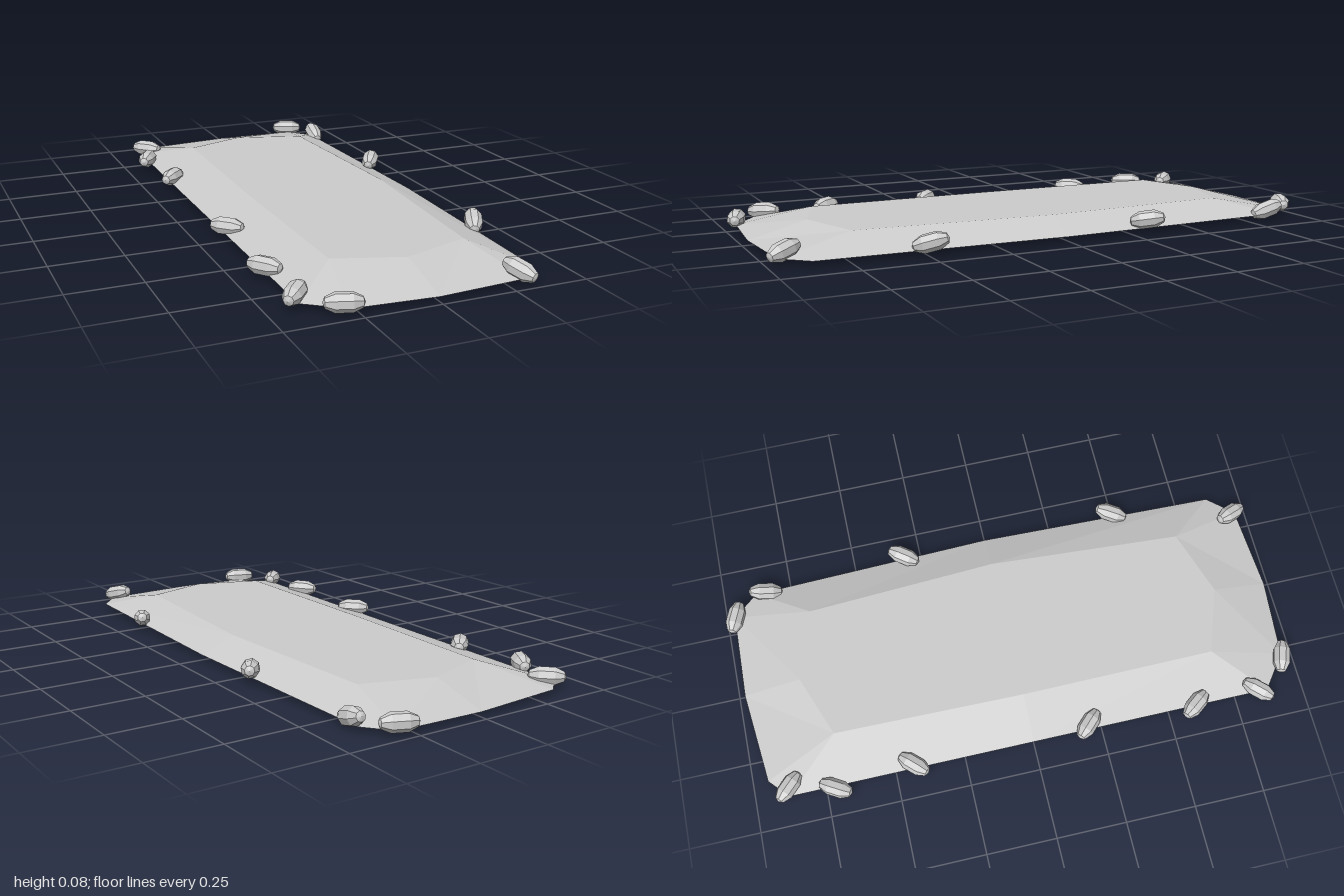
import * as THREE from 'three';

const material = new THREE.MeshStandardMaterial({ color: 0xcccccc, flatShading: true, side: THREE.DoubleSide });

// Low mound: an open faceted sheet, flat on top and sloping down to its rim
function makeMound() {
  const rimY = 0.022, topY = 0.075;
  const rim = [
    [-0.4, -0.88], [-0.33, -0.945], [0, -0.978], [0.31, -0.97], [0.385, -0.88], [0.41, 0],
    [0.388, 0.87], [0.31, 0.96], [0, 0.982], [-0.28, 0.96], [-0.4, 0.87], [-0.4, 0],
  ];
  // Each plateau corner meets two rim points, so it is repeated
  const plateau = [
    [-0.225, -0.685], [-0.225, -0.685], [0, -0.77], [0.25, -0.69], [0.25, -0.69], [0.285, 0],
    [0.24, 0.7], [0.24, 0.7], [0, 0.78], [-0.23, 0.7], [-0.23, 0.7], [-0.235, 0],
  ];
  const positions = [];
  const triangle = (...corners) => {
    if (new Set(corners.map(String)).size === 3) corners.forEach((c) => positions.push(...c));
  };
  const low = rim.map(([x, z]) => [x, rimY, z]);
  const high = plateau.map(([x, z]) => [x, topY, z]);
  for (let i = 0; i < low.length; i++) {
    const j = (i + 1) % low.length;
    triangle([0, topY, 0], high[j], high[i]);
    triangle(high[i], high[j], low[j]);
    triangle(high[i], low[j], low[i]);
  }
  const geometry = new THREE.BufferGeometry();
  geometry.setAttribute('position', new THREE.Float32BufferAttribute(positions, 3));
  geometry.computeVertexNormals();
  return new THREE.Mesh(geometry, material);
}

// Border stones: centre x, y, z and the direction of the long axis
const STONES = [
  [0.3, 0.045, -0.963, 0.12, 0, 0.05],
  [0.38, 0.042, -0.84, 0.01, 0.035, -0.12],
  [0.402, 0.053, -0.312, 0.07, 0.02, -0.105],
  [0.402, 0.048, 0.492, 0.055, 0.035, -0.115],
  [0.3, 0.045, 0.937, -0.05, 0.03, -0.11],
  [-0.295, 0.042, 0.953, 0.12, 0, 0.04],
  [-0.396, 0.042, 0.833, 0.09, 0.01, -0.1],
  [-0.4, 0.042, 0.598, 0.08, 0, 0.105],
  [-0.385, 0.042, 0.205, 0.09, 0, 0.09],
  [-0.388, 0.042, -0.432, 0.09, 0, -0.095],
  [-0.41, 0.042, -0.715, 0.07, 0, -0.12],
  [-0.37, 0.042, -0.875, 0.09, 0, 0.09],
];

function makeStones() {
  const group = new THREE.Group();
  const profile = [[0, -0.062], [0.017, -0.056], [0.031, -0.026], [0.031, 0.026], [0.017, 0.056], [0, 0.062]];
  const geometry = new THREE.LatheGeometry(profile.map(([r, y]) => new THREE.Vector2(r, y)), 8);
  const up = new THREE.Vector3(0, 1, 0);
  STONES.forEach(([x, y, z, dx, dy, dz], i) => {
    const stone = new THREE.Mesh(geometry, material);
    stone.name = `stone${i + 1}`;
    stone.position.set(x, y, z);
    stone.quaternion.setFromUnitVectors(up, new THREE.Vector3(dx, dy, dz).normalize());
    group.add(stone);
  });
  return group;
}

export function createModel() {
  const model = new THREE.Group();
  model.name = 'stoneEdgedMound';
  const mound = makeMound();
  mound.name = 'mound';
  const stones = makeStones();
  stones.name = 'borderStones';
  model.add(mound, stones);
  return model;
}
